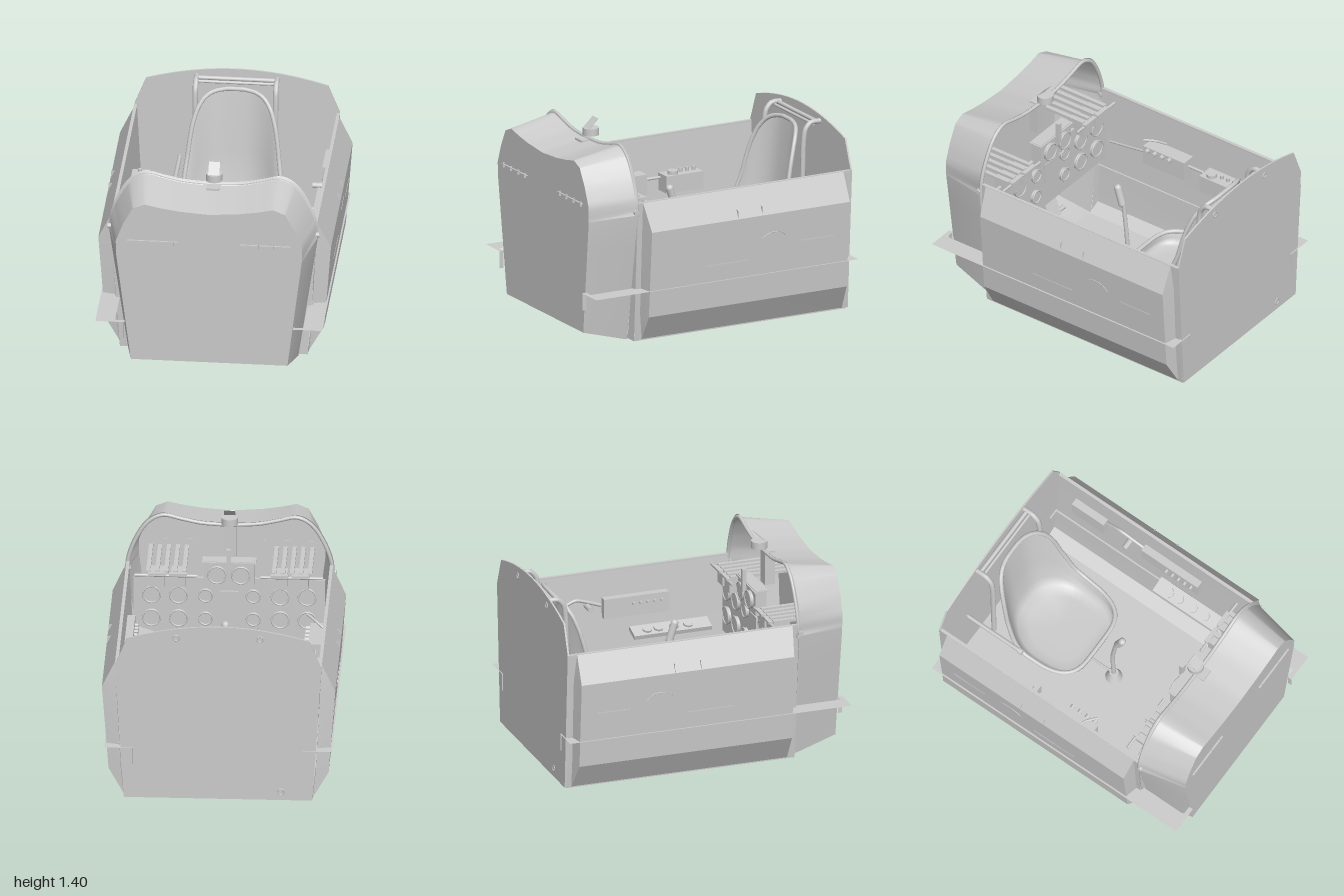
import * as THREE from 'three';
import { toCreasedNormals, mergeVertices } from 'three/addons/utils/BufferGeometryUtils.js';

const solid = new THREE.MeshStandardMaterial({ color: 0xcccccc });
const sheet = new THREE.MeshStandardMaterial({ color: 0xcccccc, side: THREE.DoubleSide });
const V = (x, y, z) => new THREE.Vector3(x, y, z);

export function createModel() {
  const root = new THREE.Group();

  const add = (name, geo, pos = [0, 0, 0], rot = [0, 0, 0], mat = solid) => {
    const m = new THREE.Mesh(geo, mat);
    m.name = name;
    m.position.set(...pos);
    m.rotation.set(...rot);
    root.add(m);
  };
  const box = (name, size, pos, rot) => add(name, new THREE.BoxGeometry(...size), pos, rot);
  const cyl = (name, r, h, pos, rot, n = 20) => add(name, new THREE.CylinderGeometry(r, r, h, n), pos, rot);
  const tube = (name, pts, r, seg = 24, closed = false) =>
    add(name, new THREE.TubeGeometry(new THREE.CatmullRomCurve3(pts.map(p => V(...p)), closed, 'catmullrom', 0.3), seg, r, 10, closed), undefined, undefined, sheet);

  // Skin over a list of cross-sections with equal point counts
  const loft = (name, rings, closed = false, crease = 0.6) => {
    const n = rings[0].length, idx = [];
    for (let i = 0; i < rings.length - 1; i++)
      for (let j = 0; j < (closed ? n : n - 1); j++) {
        const a = i * n + j, b = i * n + (j + 1) % n;
        idx.push(a, b, a + n, b, b + n, a + n);
      }
    const g = new THREE.BufferGeometry().setFromPoints(rings.flat());
    g.setIndex(idx);
    add(name, toCreasedNormals(mergeVertices(g), crease), undefined, undefined, sheet);
  };

  // Lower hull and floor
  box('hullFloor', [1.26, 0.03, 1.62], [0, 0.02, -0.17]);
  cyl('drainRing', 0.06, 0.006, [0, 0.003, -0.04]);
  box('underPlate', [0.34, 0.006, 0.2], [0, 0.003, 0.55]);

  // Side skins with a raised panel, inner walls and sills
  const flat = [[0.63, 0.01], [0.65, 0.2], [0.68, 0.79], [0.69, 0.98]];
  const raised = [[0.635, 0.015], [0.735, 0.19], [0.78, 0.79], [0.69, 0.98]];
  const wall = [[0.53, 0.036], [0.62, 0.08], [0.632, 0.2], [0.672, 0.98]];
  for (const s of [1, -1]) {
    const ring = (p, z) => p.map(([x, y]) => V(s * x, y, z));
    loft('sideSkin', [ring(flat, 0.64), ring(flat, 0.605), ring(raised, 0.585), ring(raised, -0.925),
      ring(flat, -0.945), ring(flat, -0.98)], false, 0.3);
    loft('innerWall', [ring(wall, 0.64), ring(wall, -0.98)], false, 0.3);
    box('sill', [0.022, 0.012, 1.62], [s * 0.68, 0.975, -0.17]);
    // Flange between hull and nose cowl
    loft('frontFrame', [[V(s * 0.56, 0.01, 0.65), V(s * 0.695, 0.98, 0.65)], [V(s * 0.63, 0.01, 0.64), V(s * 0.69, 0.98, 0.64)]]);
    // Thin horizontal side plate with end tabs
    add('sidePlate', new THREE.PlaneGeometry(0.13, 2), [s * 0.695, 0.375, 0], [-Math.PI / 2, 0, 0], sheet);
    for (const z of [-0.985, 0.985]) {
      add('plateEnd', new THREE.PlaneGeometry(0.07, 0.03), [s * 0.6, 0.375, z], [-Math.PI / 2, 0, 0], sheet);
      add('plateTab', new THREE.PlaneGeometry(0.03, 0.12), [s * 0.57, 0.315, z], [0, Math.PI / 2, 0], sheet);
    }
    // Panel slots, latch and triangular tabs
    box('stepSlot', [0.006, 0.008, 0.33], [s * 0.757, 0.49, 0]);
    box('handSlot', [0.006, 0.008, 0.25], [s * 0.763, 0.57, -0.69]);
    tube('latchArc', [[s * 0.768, 0.63, -0.265], [s * 0.77, 0.66, -0.33], [s * 0.77, 0.655, -0.41], [s * 0.766, 0.61, -0.46]], 0.003);
    const tab = new THREE.Shape([[0.7, 0.855], [0.775, 0.85], [0.78, 0.78]].map(([x, y]) => new THREE.Vector2(s * x, y)));
    for (const z of [-0.075, -0.26]) add('panelTab', new THREE.ShapeGeometry(tab), [0, 0, z], undefined, sheet);
    cyl('canopyPin', 0.018, 0.045, [s * 0.688, 0.92, 0.66], [0, 0, Math.PI / 2], 12);
    // Mounting rail on the nose
    box('noseRail', [0.34, 0.003, 0.014], [s * 0.38, 0.99, 0.989]);
    for (const x of [0.24, 0.33, 0.43, 0.53]) box('railStub', [0.004, 0.035, 0.016], [s * x, 0.985, 0.99]);
  }

  // Nose cowl: front outline tapers from a larger, rounded rear outline with an upturned lip
  const frontHalf = [[0, 1.205], [0.2, 1.22], [0.33, 1.24], [0.43, 1.262], [0.51, 1.23], [0.575, 1.11], [0.625, 0.98], [0.623, 0.88], [0.525, 0.085]];
  const rearHalf = [[0, 1.275], [0.2, 1.288], [0.33, 1.315], [0.46, 1.34], [0.56, 1.285], [0.65, 1.14], [0.695, 1.0], [0.7, 0.9], [0.57, 0.01]];
  const curve = new THREE.CatmullRomCurve3(rearHalf.slice(0, 8).map(([x, y]) => V(x, y, 0)));
  const half = [[], []];
  for (let i = 0; i < 8; i++)
    for (let k = 0; k < 4; k++) {
      const t = k / 4, a = frontHalf[i], b = frontHalf[i + 1];
      half[0].push([a[0] + (b[0] - a[0]) * t, a[1] + (b[1] - a[1]) * t]);
      const c = rearHalf[7], d = rearHalf[8];
      const p = i < 7 ? curve.getPoint((i + t) / 7) : V(c[0] + (d[0] - c[0]) * t, c[1] + (d[1] - c[1]) * t, 0);
      half[1].push([p.x, p.y]);
    }
  half[0].push(frontHalf[8]);
  half[1].push(rearHalf[8]);
  const full = (h, zf) => [...h, ...h.slice(1).reverse().map(([x, y]) => [-x, y])].map(([x, y]) => V(x, y, zf(y)));
  const front = full(half[0], y => 0.968 + 0.016 * y);
  const rear = full(half[1], y => 0.66 - 0.012 * y);
  const lipFoot = rear.map(p => V(p.x * (p.y > 0.9 ? 0.985 : 1), p.y - 0.022 * THREE.MathUtils.smoothstep(p.y, 0.9, 1.25), p.z + 0.015));
  loft('noseCowl', [front, lipFoot, rear], true, 0.5);
  const cap = new THREE.ShapeGeometry(new THREE.Shape(front.map(p => new THREE.Vector2(p.x, p.y))));
  const cp = cap.attributes.position;
  for (let i = 0; i < cp.count; i++) cp.setZ(i, 0.968 + 0.016 * cp.getY(i));
  cap.computeVertexNormals();
  add('noseFace', cap, undefined, undefined, sheet);
  const rim = rear.filter(p => p.y > 0.88).sort((a, b) => Math.atan2(a.x, a.y - 0.88) - Math.atan2(b.x, b.y - 0.88));
  tube('cowlRim', rim.map(p => [p.x * 0.98, p.y - 0.016, p.z]), 0.013, 80);

  // Rear bulkhead with arched top
  const bh = new THREE.Shape();
  bh.moveTo(-0.63, 0.01);
  bh.lineTo(0.63, 0.01);
  bh.lineTo(0.69, 0.98);
  bh.lineTo(0.61, 1.18);
  bh.quadraticCurveTo(0.3, 1.275, 0, 1.275);
  bh.quadraticCurveTo(-0.3, 1.275, -0.61, 1.18);
  bh.lineTo(-0.69, 0.98);
  add('rearBulkhead', new THREE.ExtrudeGeometry(bh, { depth: 0.012, bevelEnabled: false, curveSegments: 10 }), [0, 0, -0.992]);
  for (const [x, y] of [[0.28, 1.19], [-0.28, 1.19], [-0.42, 0.07]])
    add('bulkheadRing', new THREE.TorusGeometry(0.02, 0.005, 6, 14), [x, y, -0.992]);

  // Bucket seat: rounded plan outline, rim rises steeply toward the back
  const N = 72, rimPts = new THREE.CatmullRomCurve3(
    [[-0.18, 0.41], [-0.4, 0.42], [-0.58, 0.47], [-0.68, 0.67], [-0.76, 0.98], [-0.83, 1.13], [-0.88, 1.18]].map(([z, y]) => V(z, y, 0))).getPoints(140);
  const rimY = z => rimPts.reduce((a, b) => Math.abs(b.x - z) < Math.abs(a.x - z) ? b : a).y;
  const seatRing = (k, f) => Array.from({ length: N }, (_, i) => {
    const a = i / N * Math.PI * 2, c = Math.cos(a), s = Math.sin(a), e = s < 0 ? 0.65 : 0.42;
    const u = Math.sign(c) * Math.abs(c) ** e, w = Math.sign(s) * Math.abs(s) ** e;
    const z = -0.53 + 0.35 * w, taper = 1 - (w < 0 ? 0.24 : 0.15) * w * w;
    return V(u * 0.34 * taper * k, 0.32 + (rimY(z) - 0.32) * f, -0.53 + 0.35 * w * k + (1 - f) * 0.05);
  });
  loft('seatBucket', [seatRing(0.01, 0), seatRing(0.6, 0), seatRing(0.8, 0.03), seatRing(0.88, 0.15),
    seatRing(0.93, 0.5), seatRing(0.98, 0.9), seatRing(1, 1)], true, 1.2);
  tube('seatRim', seatRing(1, 1).map(p => [p.x, p.y, p.z]), 0.015, 144, true);
  box('seatPedestal', [0.36, 0.28, 0.3], [0, 0.17, -0.5]);

  // Tubular frame behind the seat
  for (const s of [1, -1])
    tube('seatFrameTube', [[s * 0.27, 1.215, -0.98], [s * 0.27, 1.215, -0.91], [s * 0.27, 1.16, -0.865], [s * 0.27, 1, -0.85], [s * 0.27, 0.3, -0.84]], 0.018, 40);
  cyl('seatCrossbar', 0.014, 0.54, [0, 1.215, -0.955], [0, 0, Math.PI / 2]);
  cyl('seatCrossbar', 0.01, 0.54, [0, 1.2, -0.93], [0, 0, Math.PI / 2]);

  // Control stick
  add('stickBoot', new THREE.CylinderGeometry(0.03, 0.06, 0.08, 24), [0, 0.07, -0.05]);
  tube('stick', [[0, 0.08, -0.05], [0, 0.4, -0.06], [0, 0.7, -0.03]], 0.015);
  add('stickGrip', new THREE.CapsuleGeometry(0.026, 0.12, 6, 14), [0, 0.76, 0], [0.3, 0, 0]);
  cyl('stickLinkage', 0.008, 0.3, [0, 0.1, -0.2], [Math.PI / 2, 0, 0], 8);
  tube('sideLever', [[-0.385, 0.6, -0.98], [-0.385, 0.6, -0.55]], 0.014);
  cyl('sideLeverKnob', 0.022, 0.03, [-0.385, 0.6, -0.54], [Math.PI / 2, 0, 0]);

  // Instrument panel with dials
  const dial = (x, y, z, r) => {
    cyl('dial', r, 0.03, [x, y, z], [Math.PI / 2, 0, 0], 24);
    add('dialBezel', new THREE.TorusGeometry(r, 0.006, 8, 24), [x, y, z - 0.015]);
  };
  box('instrumentPanel', [1.28, 0.44, 0.02], [0, 0.67, 0.6]);
  box('centrePanel', [0.34, 0.18, 0.08], [0, 0.95, 0.57]);
  box('centreDisplay', [0.12, 0.16, 0.02], [0, 0.72, 0.585]);
  box('centreHood', [0.36, 0.012, 0.1], [0, 1.03, 0.57]);
  for (const s of [1, -1]) {
    dial(s * 0.08, 0.95, 0.525, 0.06);
    for (const x of [0.16, 0.34, 0.52]) for (const y of [0.77, 0.6]) dial(s * x, y, 0.585, x < 0.2 ? 0.045 : 0.058);
    // Slatted equipment racks reaching forward under the cowl
    for (const x of [0.3, 0.36, 0.42, 0.48, 0.54]) box('rackSlat', [0.028, 0.02, 0.42], [s * x, 0.96, 0.73]);
    for (const x of [0.34, 0.48]) {
      box('rackBracket', [0.1, 0.1, 0.13], [s * x, 0.9, 0.58]);
      box('rackFoot', [0.12, 0.015, 0.03], [s * x, 0.955, 0.505]);
    }
    cyl('rackRail', 0.01, 0.42, [s * 0.42, 0.94, 0.51], [0, 0, Math.PI / 2], 10);
    box('rudderPedal', [0.12, 0.16, 0.03], [s * 0.2, 0.24, 0.72], [0.4, 0, 0]);
  }
  cyl('pedalBar', 0.015, 0.7, [0, 0.16, 0.72], [0, 0, Math.PI / 2], 10);

  // Sight on top of the cowl
  box('sightPost', [0.09, 0.24, 0.07], [0, 1.14, 0.68]);
  box('sightFoot', [0.03, 0.16, 0.03], [0, 1.06, 0.51]);
  cyl('sightBase', 0.055, 0.05, [0, 1.305, 0.62], [0, 0, 0], 24);
  box('sightGlass', [0.075, 0.1, 0.004], [0, 1.36, 0.62], [-0.8, 0, 0]);

  // Right-hand (-x) equipment
  box('radioBox', [0.14, 0.12, 0.28], [-0.61, 0.66, -0.4]);
  cyl('radioDial', 0.035, 0.03, [-0.585, 0.73, -0.33]);
  for (const z of [-0.5, -0.45, -0.4]) cyl('radioKnob', 0.013, 0.03, [-0.605, 0.73, z], [0, 0, 0], 10);
  box('mapPlate', [0.08, 0.015, 0.16], [-0.615, 0.5, -0.7], [0, -0.1, 0]);
  box('throttleBox', [0.11, 0.14, 0.34], [-0.615, 0.68, 0.05]);
  for (const z of [0, 0.06, 0.12, 0.18]) cyl('throttleKnob', 0.016, 0.04, [-0.55, 0.73, z], [0, 0, Math.PI / 2], 10);
  tube('throttleLever', [[-0.66, 0.76, 0.1], [-0.6, 0.8, 0.14], [-0.54, 0.82, 0.2]], 0.008);
  tube('controlRod', [[-0.61, 0.7, -0.25], [-0.61, 0.7, -0.1]], 0.01);
  tube('controlRod', [[-0.6, 0.68, 0.2], [-0.64, 0.6, 0.55]], 0.008);

  // Left-hand (+x) equipment
  box('sideConsole', [0.11, 0.03, 0.55], [0.55, 0.55, 0.19], [0, 0, 0.3]);
  for (const z of [0.02, 0.1, 0.21, 0.31]) cyl('consoleDial', 0.032, 0.02, [0.54, 0.567, z], [0, 0, 0.3]);
  box('oxygenBox', [0.06, 0.16, 0.26], [0.64, 0.7, -0.7]);
  box('switchBox', [0.06, 0.14, 0.46], [0.64, 0.72, -0.03]);
  for (const z of [-0.05, 0, 0.05, 0.1, 0.15]) cyl('switch', 0.012, 0.04, [0.605, 0.74, z], [0, 0, Math.PI / 2], 10);
  cyl('valve', 0.02, 0.09, [0.61, 0.75, -0.37], [0, 0, Math.PI / 2], 12);
  tube('hose', [[0.65, 0.74, -0.57], [0.64, 0.8, -0.45], [0.65, 0.74, -0.27]], 0.012);

  return root;
}
